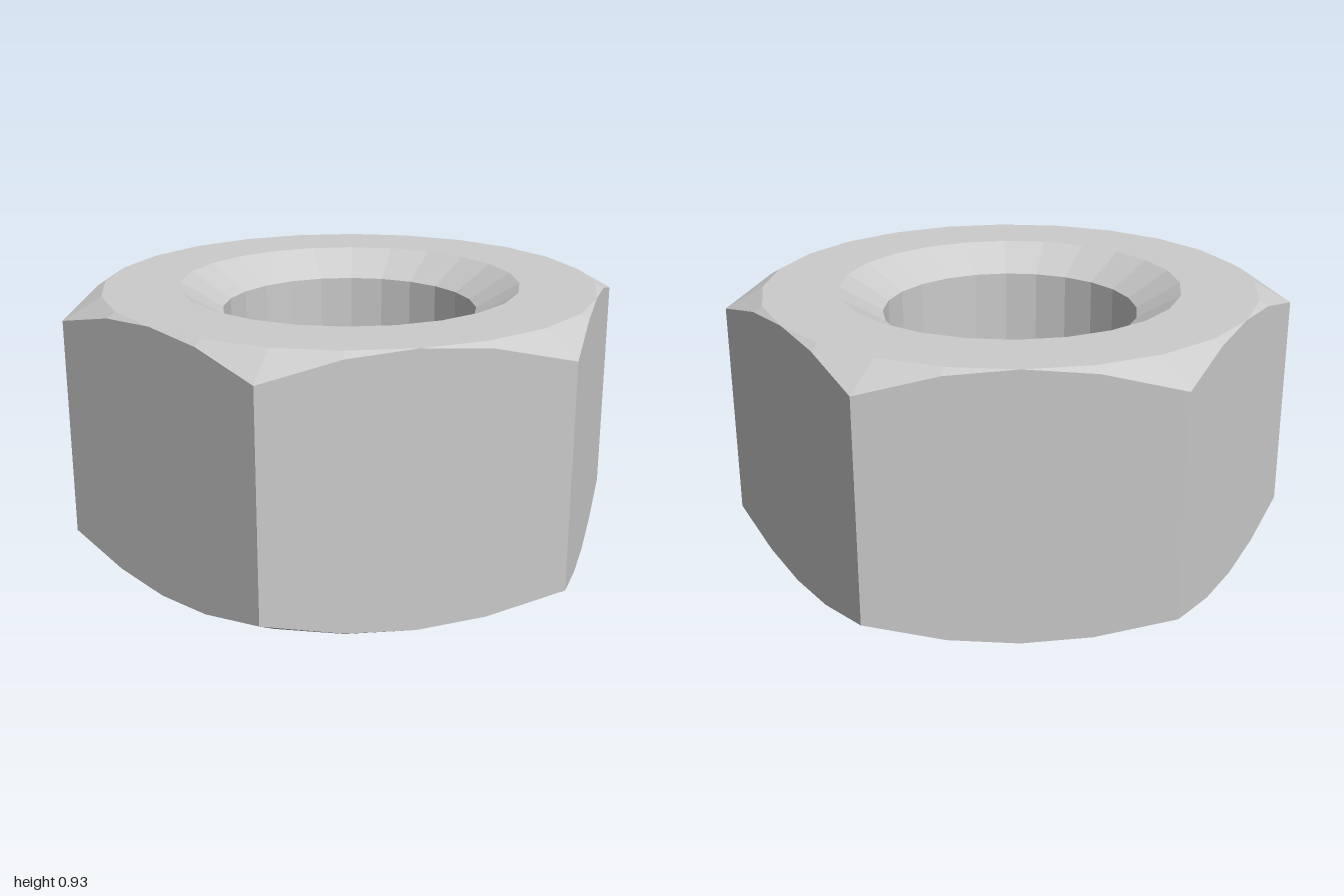
import * as THREE from 'three';

const SEGMENTS = 24;
const HEIGHT = 0.925;
const APOTHEM = Math.sqrt(3) / 2; // centre to flat, for corners at radius 1
const CHAMFER_SLOPE = Math.tan(Math.PI / 6);
const BORE = 0.45, SINK = 0.6, SINK_DEPTH = 0.09;

// Ring of points; radius and y may vary with the angle.
function ring(radius, y) {
  return Array.from({ length: SEGMENTS }, (_, i) => {
    const t = (i / SEGMENTS) * Math.PI * 2;
    const r = radius(t);
    return new THREE.Vector3(r * Math.cos(t), y(r), -r * Math.sin(t));
  });
}

const circle = (r, y) => ring(() => r, () => y);

// Distance from the centre to the hexagon's edge at angle t
function hexRadius(t) {
  const sector = Math.PI / 3;
  return APOTHEM / Math.cos((t % sector) - sector / 2);
}

// Faceted band between two rings, leaving out triangles that collapse
function band(name, a, b, material) {
  const points = [];
  const triangle = new THREE.Triangle();
  const add = (p, q, r) => {
    if (triangle.set(p, q, r).getArea() > 1e-7) points.push(p, q, r);
  };
  for (let i = 0; i < SEGMENTS; i++) {
    const j = (i + 1) % SEGMENTS;
    add(a[i], a[j], b[j]);
    add(a[i], b[j], b[i]);
  }
  const geometry = new THREE.BufferGeometry().setFromPoints(points);
  geometry.computeVertexNormals();
  const mesh = new THREE.Mesh(geometry, material);
  mesh.name = name;
  return mesh;
}

export function createModel() {
  const group = new THREE.Group();
  group.name = 'hexNut';
  const material = new THREE.MeshStandardMaterial({ color: 0xcccccc, flatShading: true });

  // The conical chamfer cuts the flats in arcs that dip towards the corners.
  const drop = (r) => (r - APOTHEM) * CHAMFER_SLOPE;

  // Rings around the section: up the outside, over the top, down the bore, back under
  const rings = [
    ring(hexRadius, drop),
    ring(hexRadius, (r) => HEIGHT - drop(r)),
    circle(APOTHEM, HEIGHT),
    circle(SINK, HEIGHT),
    circle(BORE, HEIGHT - SINK_DEPTH),
    circle(BORE, SINK_DEPTH),
    circle(SINK, 0),
    circle(APOTHEM, 0),
  ];
  const names = [
    'hexSides', 'topChamfer', 'topFace', 'topCountersink',
    'bore', 'bottomCountersink', 'bottomFace', 'bottomChamfer',
  ];
  names.forEach((name, i) => {
    group.add(band(name, rings[i], rings[(i + 1) % rings.length], material));
  });
  return group;
}
